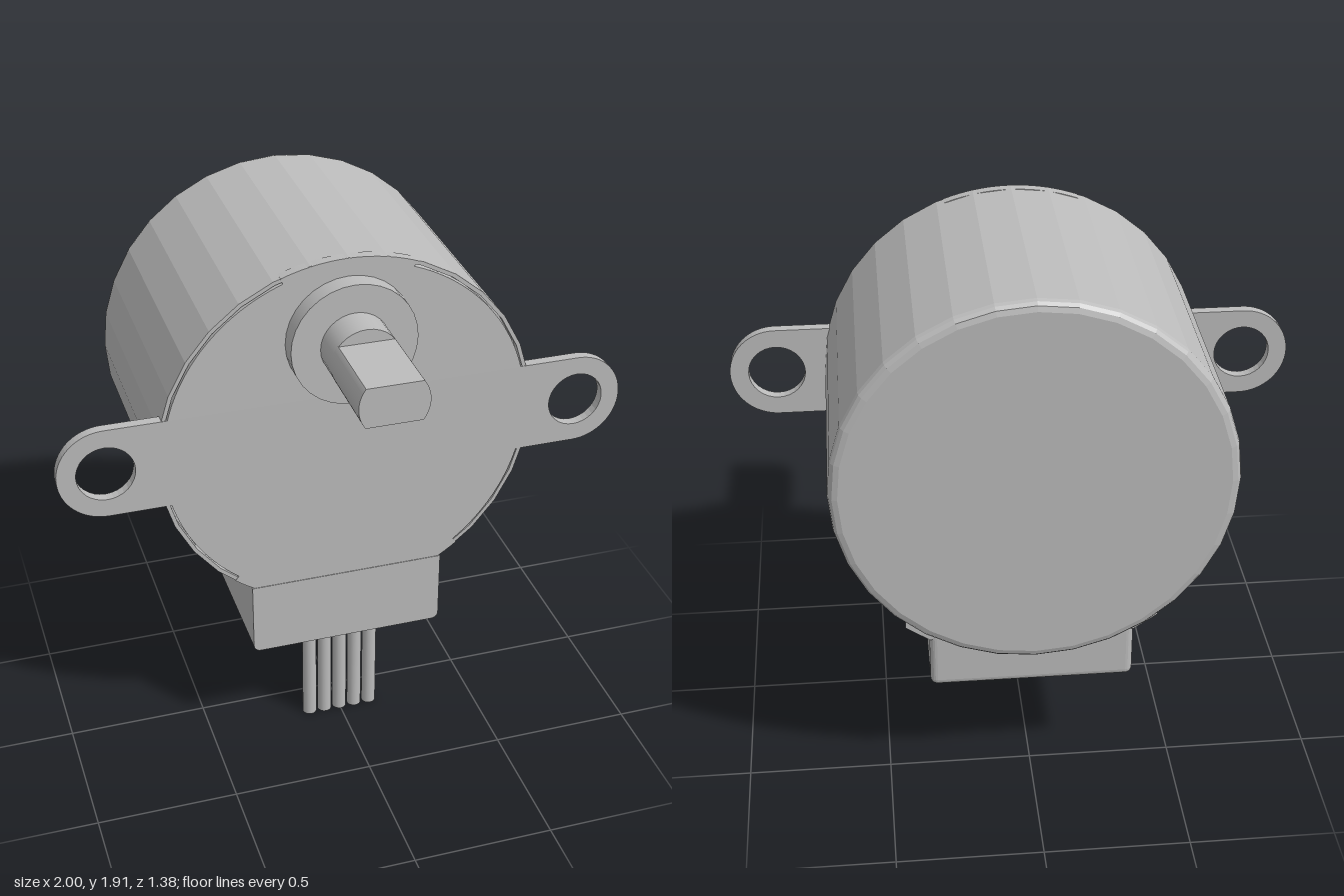
import * as THREE from 'three';
import { RoundedBoxGeometry } from 'three/addons/geometries/RoundedBoxGeometry.js';

const CY = 1.248;    // can axis height
const FRONT = 0.222; // front plate plane
const SHAFT_Y = 1.63;

export function createModel() {
  const model = new THREE.Group();
  model.name = 'gearedMotor';
  const metal = new THREE.MeshStandardMaterial({ color: 0xbcbcbc });
  metal.name = 'grey metal';
  const facetedMetal = metal.clone();
  facetedMetal.flatShading = true;

  const add = (name, geometry, x = 0, y = 0, z = 0, material = metal) => {
    const mesh = new THREE.Mesh(geometry, material);
    mesh.name = name;
    mesh.position.set(x, y, z);
    model.add(mesh);
    return mesh;
  };
  const extrude = (shape, depth, curveSegments = 16) =>
    new THREE.ExtrudeGeometry(shape, { depth, curveSegments, bevelEnabled: false });
  // Cylinder along z between two depths
  const disc = (name, r, y, z0, z1) =>
    add(name, new THREE.CylinderGeometry(r, r, z1 - z0, 32).rotateX(Math.PI / 2), 0, y, (z0 + z1) / 2);

  // Faceted can with a rounded rear edge and a recessed front lip
  const profile = [
    [0, -0.692], [0.632, -0.692], [0.65, -0.686], [0.66, -0.675], [0.664, -0.66],
    [0.664, 0.22], [0.65, 0.22], [0.65, 0.19], [0, 0.19],
  ].map(([r, z]) => new THREE.Vector2(r, z));
  add('can', new THREE.LatheGeometry(profile, 32).rotateX(Math.PI / 2), 0, CY, 0, facetedMetal);

  // Front plate: one outline with two mounting ears and wider tabs top and bottom
  const plate = new THREE.Shape();
  const earX = 0.835, earR = 0.165, r = 0.642, tabR = 0.663;
  const earA = Math.asin(earR / r);
  const topA = Math.acos(0.23 / tabR);
  const lowA = Math.acos(0.41 / tabR);
  const P = Math.PI;
  plate.absarc(earX, 0, earR, -P / 2, P / 2);
  plate.absarc(0, 0, r, earA, topA);
  plate.absarc(0, 0, tabR, topA, P - topA);
  plate.absarc(0, 0, r, P - topA, P - earA);
  plate.absarc(-earX, 0, earR, P / 2, 1.5 * P);
  plate.absarc(0, 0, r, P + earA, P + lowA);
  plate.absarc(0, 0, tabR, P + lowA, 2 * P - lowA);
  plate.absarc(0, 0, r, 2 * P - lowA, 2 * P - earA);
  plate.closePath();
  for (const side of [-1, 1]) {
    const hole = new THREE.Path();
    hole.absarc(side * earX, 0, 0.1, 0, 2 * P, true);
    plate.holes.push(hole);
  }
  add('frontPlate', extrude(plate, 0.037), 0, CY, FRONT - 0.037);

  // Offset output shaft: boss, collar and double-flatted tip
  disc('shaftBoss', 0.218, SHAFT_Y, 0.2, 0.29);
  disc('shaftCollar', 0.118, SHAFT_Y, 0.28, 0.41);
  const flatA = Math.asin(0.07 / 0.118);
  const tip = new THREE.Shape();
  tip.absarc(0, 0, 0.118, -flatA, flatA);
  tip.absarc(0, 0, 0.118, P - flatA, P + flatA);
  tip.closePath();
  add('shaftTip', extrude(tip, 0.29), 0, SHAFT_Y, 0.402);

  // Cable box: rounded below and behind, cut flat at the front
  const box = new RoundedBoxGeometry(0.7, 0.4, 0.9, 3, 0.025);
  box.translate(0, 0.603, -0.128);
  const pos = box.attributes.position;
  for (let i = 0; i < pos.count; i++) pos.setZ(i, Math.min(pos.getZ(i), FRONT + 0.002));
  // Keep the top below the plate's visible shoulder
  for (let i = 0; i < pos.count; i++) pos.setY(i, Math.min(pos.getY(i), 0.68));
  box.computeVertexNormals();
  add('cableBox', box);

  // Side rails with a sloping underside
  for (const side of [-1, 1]) {
    const pts = [[0.3, 0.6], [0.35, 0.6], [0.43, 0.655], [0.43, 0.735], [0.3, 0.735]];
    const rail = new THREE.Shape(pts.map(([x, y]) => new THREE.Vector2(side * x, y)));
    add(side > 0 ? 'leftRail' : 'rightRail', extrude(rail, 0.625), 0, 0, -0.575);
  }

  // Curved rear lip hugging the underside of the can
  const a0 = P + 0.9, a1 = 2 * P - 0.9;
  const lip = new THREE.Shape();
  lip.absarc(0, 0, 0.685, a0, a1);
  lip.absarc(0, 0, 0.63, a1, a0, true);
  lip.closePath();
  add('rearLip', extrude(lip, 0.045), 0, CY, -0.615);

  // Five lead wires
  for (let i = -2; i <= 2; i++) {
    add('wire', new THREE.CylinderGeometry(0.026, 0.026, 0.42, 16), i * 0.058, 0.21, 0.127);
  }
  // Every part shares one finish
  model.traverse((o) => { if (o.isMesh && o.name !== 'can') o.material = metal; });
  return model;
}
